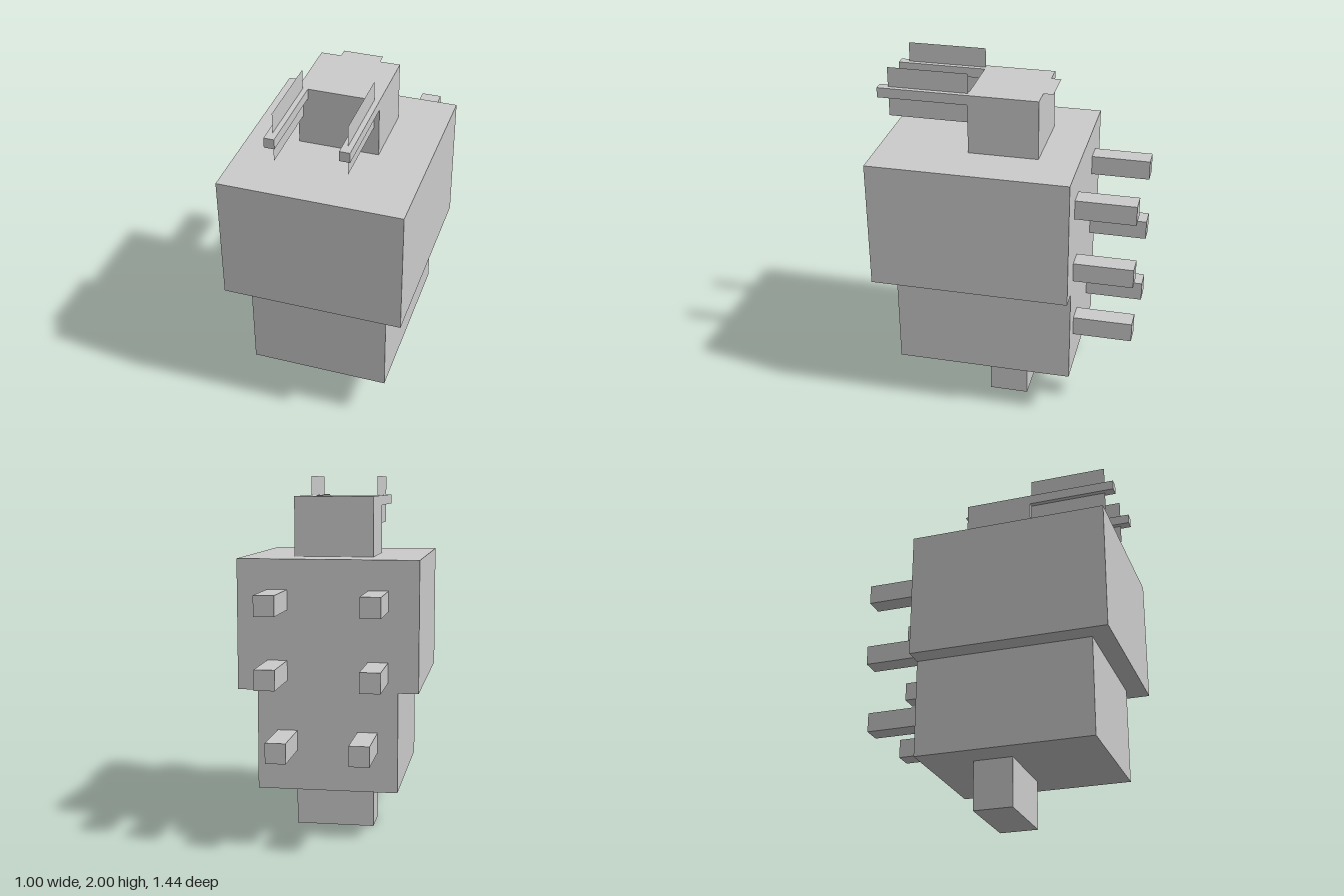
import * as THREE from 'three';

const material = new THREE.MeshStandardMaterial({ color: 0xcccccc, flatShading: true });
const thinMaterial = new THREE.MeshStandardMaterial({ color: 0xcccccc, flatShading: true, side: THREE.DoubleSide });
const U = 1 / 18; // grid unit: the model is 36 units tall

export function createModel() {
  const model = new THREE.Group();

  // Box given by its extents in grid units
  function box(name, [x0, x1], [y0, y1], [z0, z1]) {
    const mesh = new THREE.Mesh(new THREE.BoxGeometry((x1 - x0) * U, (y1 - y0) * U, (z1 - z0) * U), material);
    mesh.position.set(x0 + x1, y0 + y1, z0 + z1).multiplyScalar(U / 2);
    mesh.name = name;
    model.add(mesh);
  }

  // Main blocks, from bottom to top
  box('bottomPeg', [-4, 4], [0, 5], [-2, 2]);
  box('lowerBody', [-7, 7], [5, 15], [-7, 11]);
  box('upperBody', [-9, 9], [15, 28], [-7, 13]);
  box('topBlock', [-4, 4], [28, 34], [-3, 4]);

  // Thin tab overhanging the back of the top block
  const tab = new THREE.Mesh(new THREE.PlaneGeometry(4 * U, U), thinMaterial);
  tab.rotation.x = -Math.PI / 2;
  tab.position.set(0, 34 * U, -3.5 * U);
  tab.name = 'rearTab';
  model.add(tab);

  for (const side of [-1, 1]) {
    const label = side > 0 ? 'left' : 'right';
    const span = (a, b) => (side > 0 ? [a, b] : [-b, -a]);

    // Forward rail with an upright thin fin through its middle
    box(label + 'Rail', span(3, 4), [33, 34], [4, 13]);
    const fin = new THREE.Mesh(new THREE.PlaneGeometry(8 * U, 5 * U), thinMaterial);
    fin.rotation.y = Math.PI / 2;
    fin.position.set(side * 3.5 * U, 33.5 * U, 8 * U);
    fin.name = label + 'Fin';
    model.add(fin);

    // Rear pins: the lowest pair sits slightly closer together
    [[3, 9], [4, 16], [4, 23]].forEach(([x, y], i) =>
      box(label + 'Pin' + (i + 1), span(x, x + 2), [y, y + 2], [-13, -7]));
  }
  return model;
}
